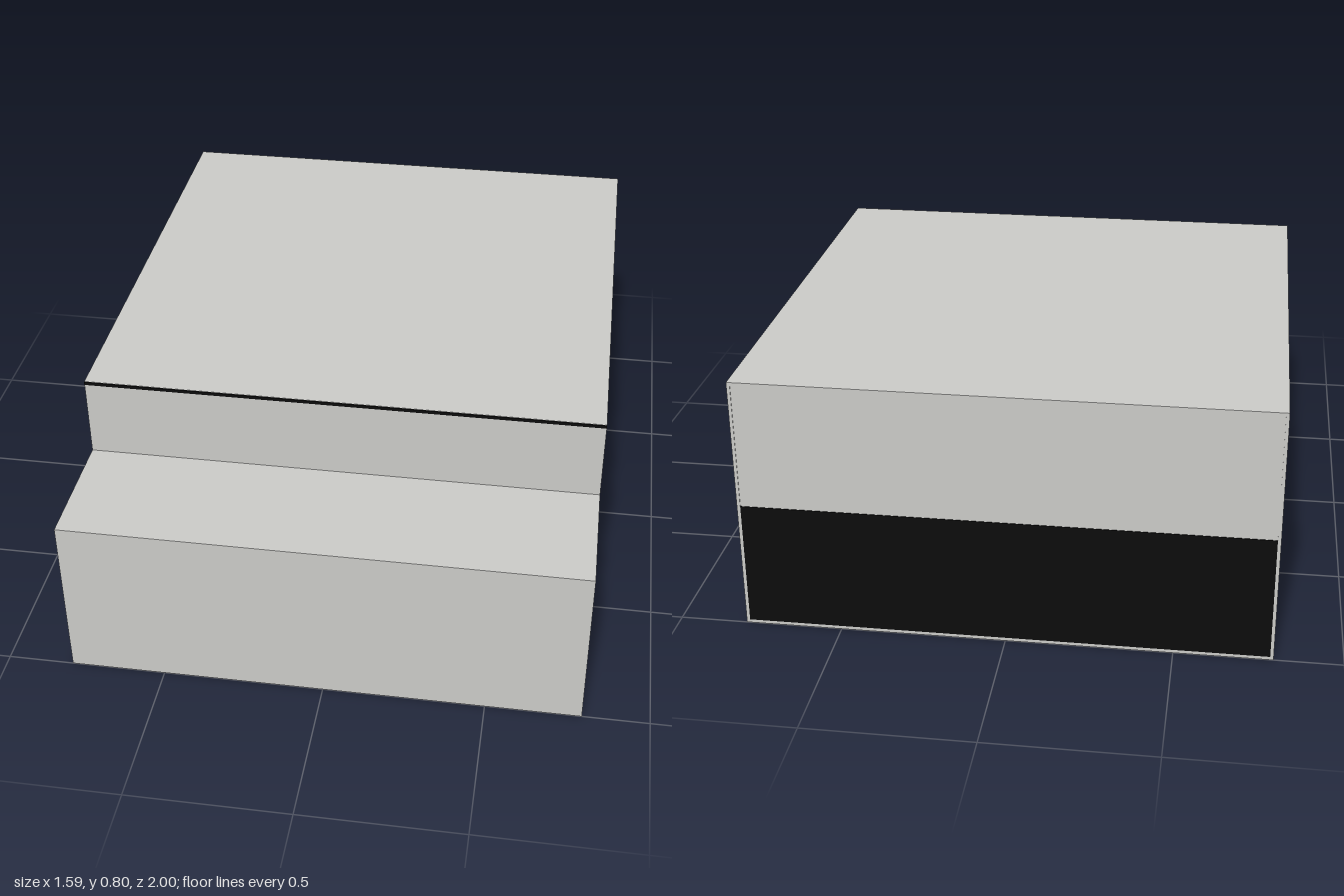
import * as THREE from 'three';

export function createModel() {
  const grey = new THREE.MeshStandardMaterial({ color: 0xc9c9c6 });
  grey.name = 'light grey panel';
  const black = new THREE.MeshStandardMaterial({ color: 0x0c0c0c });
  black.name = 'black trim';

  const model = new THREE.Group();
  model.name = 'cabin';
  const W = 0.795, T = 0.01; // half width and panel thickness

  // Box given by its lower and upper corners
  function box(name, material, x0, x1, y0, y1, z0, z1) {
    const mesh = new THREE.Mesh(new THREE.BoxGeometry(x1 - x0, y1 - y0, z1 - z0), material);
    mesh.position.set((x0 + x1) / 2, (y0 + y1) / 2, (z0 + z1) / 2);
    mesh.name = name;
    model.add(mesh);
  }

  // Side walls, each with a softly rounded window opening
  const wall = new THREE.Shape();
  wall.moveTo(-0.6, T).lineTo(1, T).lineTo(1, 0.79).lineTo(-0.6, 0.79).closePath();
  const hole = new THREE.Path();
  const a = 0.12, b = 0.29, lo = 0.415, hi = 0.715, r = 0.006;
  hole.moveTo(a + r, lo).lineTo(b - r, lo).lineTo(b, lo + r).lineTo(b, hi - r);
  hole.lineTo(b - r, hi).lineTo(a + r, hi).lineTo(a, hi - r).lineTo(a, lo + r).closePath();
  wall.holes.push(hole);
  const wallGeometry = new THREE.ExtrudeGeometry(wall, { depth: T, bevelEnabled: false });
  wallGeometry.rotateY(Math.PI / 2);
  for (const [name, x] of [['leftWall', W - T], ['rightWall', -W]]) {
    const mesh = new THREE.Mesh(wallGeometry, grey);
    mesh.name = name;
    mesh.position.x = x;
    model.add(mesh);
  }

  // Main shell
  box('basePlate', grey, -W, W, 0, T, -1, 1);
  box('roof', grey, -W, W, 0.79, 0.8, -1, 0.599);
  box('roofFrontTrim', black, -W, W, 0.789, 0.799, 0.599, 0.602);
  box('frontWall', grey, -W + T, W - T, T, 0.79, 0.59, 0.6);
  box('backWall', grey, -W + T, W - T, T, 0.79, -0.998, -0.988);
  box('backLowerPanel', black, -W + T, W - T, T, 0.4, -1, -0.998);

  // Front tunnel, open at both ends
  box('frontPanel', grey, -W, W, T, 0.535, 0.99, 1);
  box('tunnelRoof', grey, -W, W, 0.535, 0.54, 0.6, 1);
  box('tunnelRoofLining', black, -W, W, 0.532, 0.535, 0.6, 0.99);

  // Interior trim
  box('backSkirting', black, -W + T, W - T, 0.05, 0.12, -0.988, -0.982);
  box('frontSkirting', black, -W + T, W - T, 0.05, 0.12, 0.584, 0.59);
  box('ceilingStrip', black, -W + T, W - T, 0.784, 0.79, 0.2, 0.24);

  // Small fittings beside the left window
  for (const [y0, y1, z0, z1] of [
    [0.66, 0.675, -0.334, -0.319],
    [0.462, 0.498, -0.334, -0.319],
    [0.41, 0.45, -0.345, -0.314],
  ]) box('wallFitting', black, W - 0.001, W + 0.001, y0, y1, z0, z1);

  return model;
}
